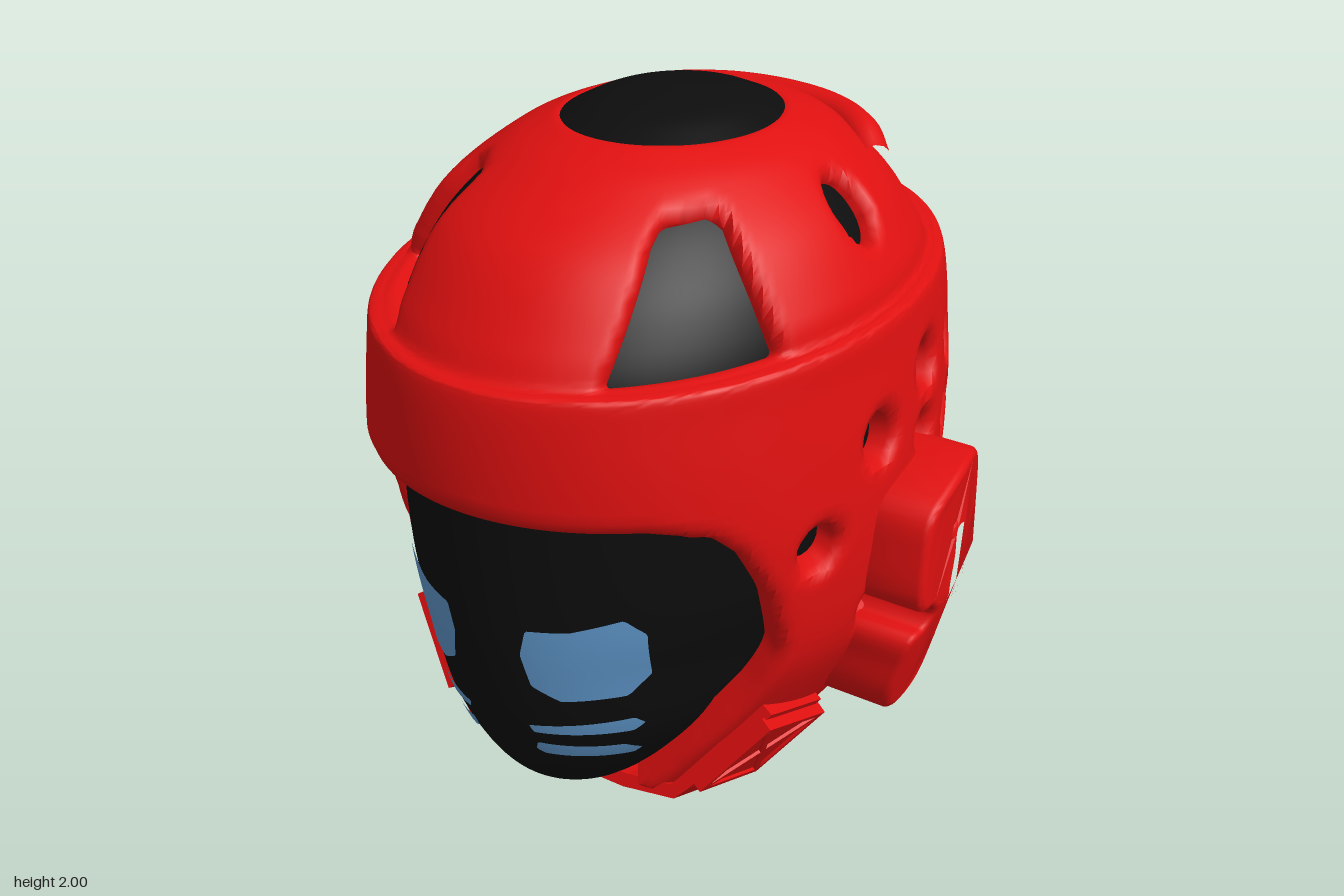
import * as THREE from 'three';
import { toCreasedNormals } from 'three/addons/utils/BufferGeometryUtils.js';

const material = (name, color) => Object.assign(new THREE.MeshStandardMaterial({ color }), { name });
const V2 = (p) => new THREE.Vector2(p[0], p[1]);

// Loft through elliptical rings [y, half width, front z, back z]; u is the azimuth, v runs 0..1 upwards
function loft(rings, tilt = 0) {
  const a = new THREE.SplineCurve(rings.map((r) => new THREE.Vector2(r[0], r[1])));
  const b = new THREE.SplineCurve(rings.map((r) => new THREE.Vector2(r[2], r[3])));
  const A = new THREE.Vector2(), B = new THREE.Vector2();
  return (u, v) => {
    a.getPoint(v, A);
    b.getPoint(v, B);
    const z = (B.x + B.y) / 2 + ((B.x - B.y) / 2) * Math.cos(u);
    const lean = tilt * z * Math.exp(-(((A.x - 1.52) / 0.16) ** 2));
    return new THREE.Vector3(A.y * Math.sin(u), A.x - lean, z);
  };
}

// Signed distance to a polygon, positive outside
function polygonDistance(x, y, pts) {
  let best = Infinity, inside = false;
  pts.forEach(([ax, ay], i) => {
    const [bx, by] = pts[(i + 1) % pts.length];
    const ex = bx - ax, ey = by - ay;
    const t = THREE.MathUtils.clamp(((x - ax) * ex + (y - ay) * ey) / (ex * ex + ey * ey), 0, 1);
    best = Math.min(best, Math.hypot(x - ax - t * ex, y - ay - t * ey));
    if (ay > y !== by > y && x < ax + (ex * (y - ay)) / ey) inside = !inside;
  });
  return inside ? -best : best;
}

// Surface kept where solid(p) > 0, with rounded rims and an inner wall if thickness is given
function skin(point, solid, { u0 = 0, u1 = Math.PI * 2, v0 = 0, v1 = 1, nu, nv, thickness = 0, round = 0, lift = 0 }) {
  const out = [];
  const push = (u, v, f) => {
    const p = point(u, v);
    const n = new THREE.Vector3(p.x / 0.6, (p.y - 1) / 0.88, p.z / 0.86).normalize();
    const k = Math.max(0, round - f);
    const drop = round ? round - Math.sqrt(Math.max(0, round * round - k * k)) : 0;
    return { u, v, f, o: p.clone().addScaledVector(n, lift - drop), i: p.clone().addScaledVector(n, -thickness) };
  };
  const grid = [];
  for (let j = 0; j <= nv; j++) {
    grid.push([]);
    for (let i = 0; i <= nu; i++) {
      const u = u0 + ((u1 - u0) * i) / nu, v = v0 + ((v1 - v0) * j) / nv;
      grid[j].push(push(u, v, solid(point(u, v))));
    }
  }
  const tri = (...ps) => ps.forEach((p) => out.push(p.x, p.y, p.z));
  for (let j = 0; j < nv; j++) for (let i = 0; i < nu; i++) {
    const c = [grid[j][i], grid[j][i + 1], grid[j + 1][i + 1], grid[j + 1][i]];
    const poly = [];
    let exit = null, entry = null;
    c.forEach((a, k) => {
      const b = c[(k + 1) % 4];
      if (a.f > 0) poly.push(a);
      if (a.f > 0 !== b.f > 0) {
        const t = a.f / (a.f - b.f);
        const m = push(a.u + (b.u - a.u) * t, a.v + (b.v - a.v) * t, 0);
        poly.push(m);
        if (a.f > 0) exit = m; else entry = m;
      }
    });
    for (let k = 1; k + 1 < poly.length; k++) {
      tri(poly[0].o, poly[k].o, poly[k + 1].o);
      if (thickness) tri(poly[0].i, poly[k + 1].i, poly[k].i);
    }
    if (thickness && exit) {
      tri(entry.o, exit.o, exit.i);
      tri(entry.o, exit.i, entry.i);
    }
  }
  const g = new THREE.BufferGeometry();
  g.setAttribute('position', new THREE.Float32BufferAttribute(out, 3));
  return toCreasedNormals(g, 0.9);
}

const SHELL = [
  [0, 0.33, 0.6, -0.55], [0.1, 0.42, 0.65, -0.6], [0.25, 0.53, 0.72, -0.7], [0.4, 0.63, 0.78, -0.78],
  [0.6, 0.73, 0.85, -0.81], [0.8, 0.765, 0.89, -0.845], [1.0, 0.775, 0.92, -0.9], [1.2, 0.765, 0.93, -0.927],
  [1.4, 0.745, 0.925, -0.92], [1.5, 0.735, 0.915, -0.89], [1.517, 0.715, 0.9, -0.87], [1.527, 0.69, 0.87, -0.84],
  [1.6, 0.665, 0.82, -0.79], [1.75, 0.57, 0.68, -0.69], [1.87, 0.43, 0.48, -0.55], [1.92, 0.33, 0.36, -0.44],
  [1.94, 0.26, 0.28, -0.36], [1.945, 0.18, 0.2, -0.28],
];
const HEAD = [
  [0.065, 0, 0.4, 0.4], [0.09, 0.14, 0.54, 0.2], [0.15, 0.23, 0.64, 0], [0.25, 0.34, 0.72, -0.18],
  [0.4, 0.47, 0.785, -0.46], [0.6, 0.56, 0.825, -0.72], [0.8, 0.63, 0.84, -0.77], [1.1, 0.67, 0.845, -0.84],
  [1.4, 0.66, 0.84, -0.84], [1.6, 0.6, 0.74, -0.73], [1.75, 0.5, 0.6, -0.6], [1.87, 0.38, 0.43, -0.5],
  [1.94, 0.27, 0.275, -0.355], [1.98, 0.17, 0.15, -0.24], [2.0, 0, -0.04, -0.04],
];
// Side outline (z, y) of the shell: bottom edge, cheek, brow
const SIDE = [
  [-1.5, 3], [-1.5, 0.58], [-0.81, 0.575], [-0.7, 0.55], [-0.5, 0.45], [-0.2, 0.27], [0, 0.14], [0.15, 0.08], [0.3, 0.07],
  [0.51, 0.1], [0.47, 0.29], [0.42, 0.5], [0.4, 0.65], [0.455, 0.84], [0.54, 1.0], [0.61, 1.07], [0.75, 1.105], [1.5, 1.11], [1.5, 3],
];
// Side vents: z, y, radius
const VENTS = [
  [0.08, 1.2, 0.07], [0.32, 0.96, 0.065], [-0.2, 1.31, 0.07], [-0.46, 1.29, 0.065], [-0.72, 1.31, 0.055], [-0.17, 1.12, 0.06],
  [-0.41, 1.08, 0.062], [-0.58, 1.12, 0.06], [-0.48, 0.89, 0.06], [-0.36, 0.72, 0.055], [0.08, 0.69, 0.05], [-0.07, 1.755, 0.075],
];
const SLOT = [[-0.07, 0.91], [-0.13, 0.9], [-0.165, 0.83], [-0.14, 0.72], [-0.15, 0.62], [-0.13, 0.54], [-0.06, 0.545], [-0.03, 0.65], [-0.035, 0.75], [-0.06, 0.83]];
const FRONT_WINDOW = [[1.03, 1.515], [0.91, 1.81], [0.84, 1.83], [0.6, 1.82], [0.56, 1.79], [0.43, 1.49]];
const BACK_WINDOW = [[-0.8, 1.585], [0.8, 1.585], [0.66, 1.8], [-0.66, 1.8]];

function shellSolid({ x, y, z }) {
  let f = -polygonDistance(z, y, SIDE);
  if (Math.abs(x) > 0.3) {
    for (const [vz, vy, r] of VENTS) f = Math.min(f, Math.hypot(z - vz, y - vy) - r);
    f = Math.min(f, polygonDistance(z, y, SLOT));
  }
  if (y > 1.3) {
    const az = Math.atan2(Math.abs(x), z), r = Math.hypot(x, z);
    f = Math.min(f, polygonDistance(az * 0.7, y, FRONT_WINDOW.map(([a, b]) => [a * 0.7, b])));
    f = Math.min(f, polygonDistance((Math.PI - az) * 0.7, y, BACK_WINDOW.map(([a, b]) => [a * 0.7, b])));
    if (r < 0.5) f = Math.min(f, (Math.hypot(x / 0.275, (z + 0.04) / 0.315) - 1) * 0.29);
  }
  return f;
}

const EYE = [[0.11, 0.68], [0.13, 0.76], [0.24, 0.77], [0.36, 0.81], [0.4, 0.76], [0.39, 0.62], [0.34, 0.55], [0.2, 0.535], [0.13, 0.58]];
const UPPER_BAR = [[0.11, 0.41], [0.1, 0.435], [0.34, 0.465], [0.355, 0.44], [0.33, 0.415]];
const LOWER_BAR = [[0.1, 0.34], [0.11, 0.37], [0.3, 0.36], [0.32, 0.33], [0.3, 0.31], [0.12, 0.325]];

// Ear guard: notched outline with a slot, bent to follow the side of the shell
function earGeometry() {
  const outline = [
    [0.105, 0.9], [0.08, 1.0], [0, 1.04], [-0.12, 1.065], [-0.22, 1.06], [-0.29, 1.01], [-0.325, 0.9], [-0.325, 0.58], [-0.29, 0.46],
    [-0.2, 0.385], [-0.05, 0.36], [0.05, 0.375], [0.095, 0.44], [0.105, 0.54], [0.105, 0.625], [0.05, 0.635], [0.015, 0.69],
    [0.05, 0.745], [0.105, 0.755],
  ];
  const smooth = (pts, n) => new THREE.CatmullRomCurve3(pts.map(([z, y]) => new THREE.Vector3(-z, y, 0)), true).getPoints(n).slice(0, -1).map((p) => V2([p.x, p.y]));
  const shape = new THREE.Shape(smooth(outline, 90));
  shape.holes.push(new THREE.Path(smooth(SLOT, 40)));
  const g = new THREE.ExtrudeGeometry(shape, { depth: 0.24, bevelSize: 0.02, bevelThickness: 0.02, bevelSegments: 3 });
  g.rotateY(Math.PI / 2).translate(0.67, 0, 0);
  const p = g.attributes.position;
  for (let i = 0; i < p.count; i++) {
    const y = p.getY(i), z = p.getZ(i);
    p.setX(i, p.getX(i) - 0.33 * Math.max(0, 0.72 - y) - 0.6 * Math.min(0, z - 0.05) ** 2);
  }
  return toCreasedNormals(g, 0.7);
}

export function createModel() {
  const red = material('red padding', 0xe01010);
  const black = material('black head', 0x0d0d0d);
  const blue = material('blue face paint', 0x6098cc);
  const model = new THREE.Group();
  const add = (name, geo, mat, parent = model) => {
    const m = new THREE.Mesh(geo, mat);
    m.name = name;
    parent.add(m);
    return m;
  };

  // Head and painted face
  const head = loft(HEAD);
  add('head', skin(head, () => 1, { nu: 96, nv: 84 }), black);
  const paint = { u0: -1, u1: 1, v0: 3 / 14, v1: 6.5 / 14, nu: 110, nv: 80, lift: 0.007 };
  Object.entries({ eyes: EYE, upperMouthBars: UPPER_BAR, lowerMouthBars: LOWER_BAR }).forEach(([name, pts]) =>
    add(name, skin(head, (p) => -polygonDistance(Math.abs(p.x), p.y, pts), paint), blue));

  // Padded shell with face opening, windows and vents
  add('helmetShell', skin(loft(SHELL, 0.055), shellSolid, { nu: 220, nv: 119, thickness: 0.09, round: 0.035 }), red);

  // Rolled lip above the back window
  const lip = [[-0.42, 1.77, -0.4], [-0.35, 1.815, -0.46], [-0.2, 1.83, -0.545], [0, 1.835, -0.575], [0.2, 1.83, -0.545], [0.35, 1.815, -0.46], [0.42, 1.77, -0.4]];
  const lipCurve = new THREE.CatmullRomCurve3(lip.map((p) => new THREE.Vector3(...p)));
  add('backLip', new THREE.TubeGeometry(lipCurve, 40, 0.052, 12), red);

  // Ear guards
  const ear = earGeometry();
  [1, -1].forEach((s) => { add(s > 0 ? 'leftEarGuard' : 'rightEarGuard', ear, red).scale.x = s; });

  // Chin strap with stitched patches
  const strap = new THREE.Group();
  strap.name = 'chinStrap';
  strap.position.set(0, 0.05, 0.36);
  strap.rotation.x = -0.33;
  model.add(strap);
  const half = [[0.2, 0], [0.37, 0.025], [0.41, 0.07], [0.62, 0.36]];
  const inner = [[0.585, 0.38], [0.375, 0.09], [0.35, 0.06], [0.2, 0.04]];
  const right = [...half, ...inner];
  const band = new THREE.Shape([...right, ...right.map(([x, y]) => [-x, y]).reverse()].map(V2));
  add('strapBand', new THREE.ExtrudeGeometry(band, { depth: 0.28, bevelEnabled: false }).translate(0, 0, -0.14), red, strap);
  [1, -1].forEach((s) => {
    const patch = new THREE.Group();
    patch.name = s > 0 ? 'leftPatch' : 'rightPatch';
    patch.position.set(s * 0.525, 0.215, 0);
    patch.rotation.z = s * 0.944;
    strap.add(patch);
    add('patchPlate', new THREE.BoxGeometry(0.3, 0.03, 0.31), red, patch);
    const bar = (len, x, z, turn) => {
      const m = add('stitchRidge', new THREE.BoxGeometry(len, 0.012, 0.018), red, patch);
      m.position.set(x, -0.018, z);
      m.rotation.y = turn;
    };
    [1, -1].forEach((k) => {
      bar(0.3, 0, k * 0.146, 0);
      bar(0.31, k * 0.141, 0, Math.PI / 2);
      bar(0.38, 0, 0, k * 0.8);
    });
  });
  return model;
}
